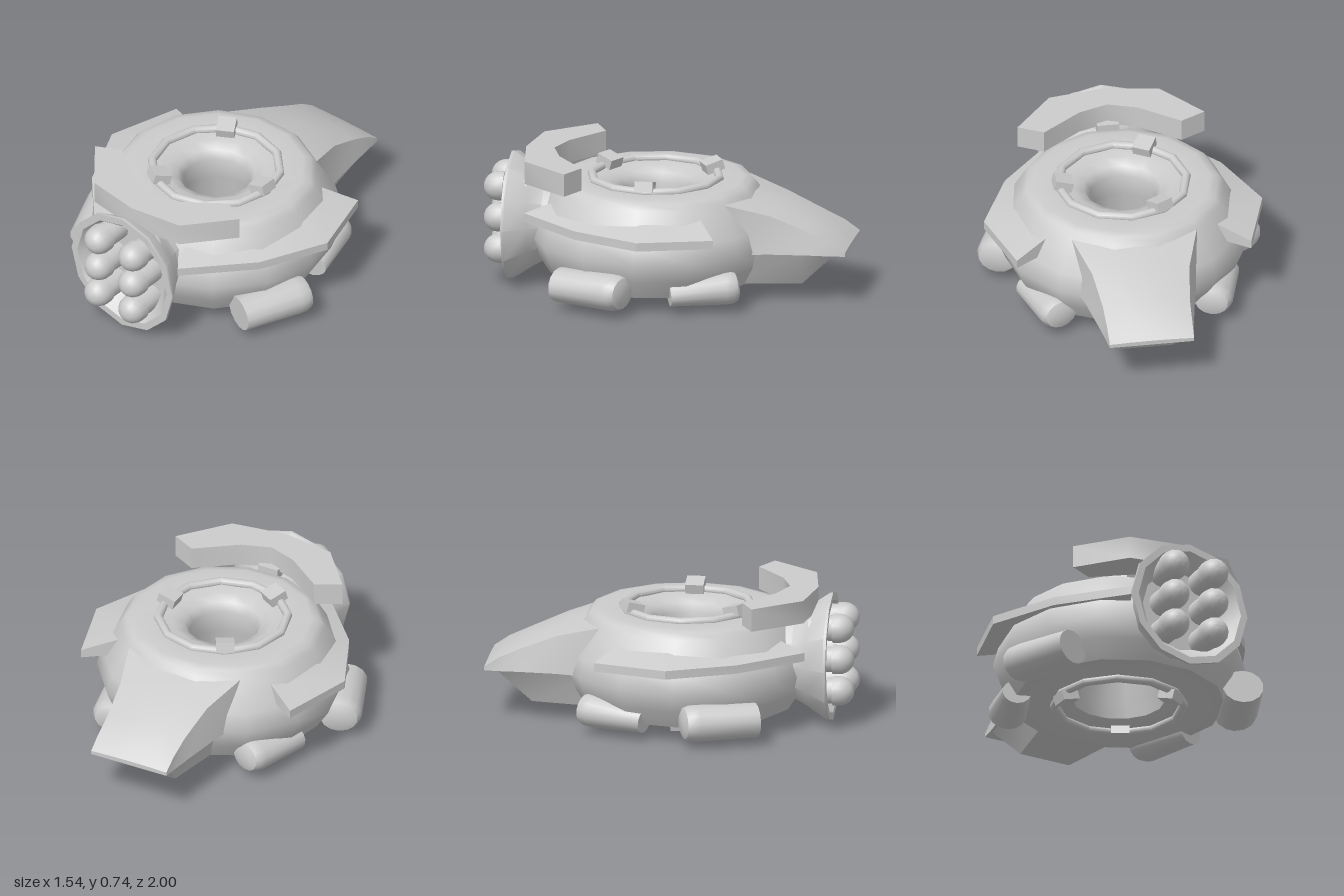
import * as THREE from 'three';
import { toCreasedNormals } from 'three/addons/utils/BufferGeometryUtils.js';

const grey = new THREE.MeshStandardMaterial({ color: 0xcccccc });
const CZ = 0.08; // z of the ring body's axis

function add(parent, name, geo, x = 0, y = 0, z = 0, crease = 0.65) {
  const mesh = new THREE.Mesh(toCreasedNormals(geo, crease), grey);
  mesh.name = name;
  mesh.position.set(x, y, z);
  parent.add(mesh);
  return mesh;
}

const lathe = (pts, n, start = 0) =>
  new THREE.LatheGeometry(pts.map(([r, y]) => new THREE.Vector2(r, y)), n, start);

// Closed solid through cross-sections that share a point count
function loft(sections) {
  const n = sections[0].length, idx = [];
  for (let s = 0; s < sections.length - 1; s++) {
    for (let i = 0; i < n; i++) {
      const a = s * n + i, b = s * n + (i + 1) % n;
      idx.push(a, b, b + n, a, b + n, a + n);
    }
  }
  const last = (sections.length - 1) * n;
  for (let i = 1; i < n - 1; i++) idx.push(0, i + 1, i, last, last + i, last + i + 1);
  // Turn the faces outward whichever way the sections run
  const p = sections.flat().map(v => new THREE.Vector3(...v));
  let volume = 0;
  for (let i = 0; i < idx.length; i += 3) {
    volume += p[idx[i]].dot(p[idx[i + 1]].clone().cross(p[idx[i + 2]]));
  }
  if (volume < 0) idx.reverse();
  const geo = new THREE.BufferGeometry().setFromPoints(p);
  geo.setIndex(idx);
  return geo;
}

// Wide blunt cylinder with a flat front end and a rounded rear end
function pod(parent, name, front, rear, rFront, r) {
  const target = new THREE.Vector3(...rear);
  const len = target.distanceTo(new THREE.Vector3(...front));
  const geo = lathe([[0, 0], [rFront, 0], [r, len * 0.8], [r * 0.97, len * 0.9],
    [r * 0.85, len * 0.97], [r * 0.55, len], [0, len * 1.01]], 14);
  const mesh = add(parent, name, geo.rotateX(Math.PI / 2).scale(1.2, 1, 1), ...front);
  mesh.lookAt(target);
}

export function createModel() {
  const model = new THREE.Group();
  model.name = 'hoverCraft';

  // Ring-shaped hull with an opening that widens downward
  add(model, 'hull', lathe([
    [0.3, 0.09], [0.575, 0.09], [0.64, 0.19], [0.683, 0.3], [0.655, 0.4], [0.595, 0.5], [0.555, 0.57], [0.525, 0.605],
    [0.48, 0.615], [0.34, 0.612], [0.27, 0.6], [0.21, 0.575], [0.182, 0.53],
    [0.2, 0.4], [0.235, 0.2], [0.25, 0.115], [0.3, 0.09],
  ], 14, Math.PI / 2), 0, 0, CZ, 0.85);

  // Hoop rails with three clamps each, above and below
  for (const side of [1, -1]) {
    const rail = add(model, side > 0 ? 'topRail' : 'bottomRail',
      new THREE.TorusGeometry(0.35, 0.024, 12, 12), 0, side > 0 ? 0.618 : 0.08, CZ);
    rail.rotation.x = Math.PI / 2;
    for (let i = 0; i < 3; i++) {
      const pivot = new THREE.Group();
      pivot.name = 'railClamp';
      pivot.position.set(0, side > 0 ? 0.645 : 0.053, CZ);
      pivot.rotation.y = i * Math.PI * 2 / 3 + (side > 0 ? 0 : Math.PI);
      add(pivot, 'clampBlock', new THREE.BoxGeometry(0.1, 0.055, 0.1), 0.325, 0, 0).rotation.z = side * 0.28;
      model.add(pivot);
    }
  }

  // Sloping side armour and pods, mirrored
  const rim = [[0.29, 0.75, 0.2, 0.55], [0.59, 0.42, 0.42, 0.33], [0.76, 0.05, 0.54, 0.05], [0.64, -0.35, 0.45, -0.24]];
  for (const s of [1, -1]) {
    const tag = s > 0 ? 'left' : 'right';
    add(model, tag + 'SideArmour', loft(rim.map(([ox, oz, ix, iz]) => [
      [s * ox, 0.405, oz], [s * ox, 0.452, oz], [s * ix, 0.52, iz], [s * ix, 0.42, iz],
    ])));
    pod(model, tag + 'FrontPod', [s * 0.525, 0.133, 0.515], [s * 0.68, 0.14, 0.13], 0.093, 0.1);
    pod(model, tag + 'RearPod', [s * 0.535, 0.11, -0.09], [s * 0.405, 0.136, -0.445], 0.066, 0.09);
  }

  // Arched tail plate: z, half width and y of the edge, y of the crest, half width and y of the base
  add(model, 'tailPlate', loft([
    [-0.345, 0.345, 0.57, 0.59, 0.35, 0.29],
    [-0.6, 0.265, 0.495, 0.525, 0.295, 0.29],
    [-0.8, 0.237, 0.41, 0.435, 0.26, 0.285],
    [-0.92, 0.232, 0.355, 0.37, 0.24, 0.28],
    [-1, 0.23, 0.3, 0.305, 0.23, 0.28],
  ].map(([z, w, y, crest, bw, by]) => {
    const mid = y + (crest - y) * 0.75;
    return [[-bw, by, z], [bw, by, z], [w, y, z], [w / 2, mid, z], [0, crest, z], [-w / 2, mid, z], [-w, y, z]];
  })));

  // Tail underside: z, half width and y at top, half width and y at bottom
  add(model, 'tailKeel', loft([
    [-0.38, 0.31, 0.3, 0.22, 0.095],
    [-0.75, 0.25, 0.29, 0.15, 0.095],
    [-0.92, 0.23, 0.285, 0.21, 0.265],
  ].map(([z, tw, ty, bw, by]) => [[-bw, by, z], [bw, by, z], [tw, ty, z], [-tw, ty, z]])));

  // Angular visor above the gun, with its mount
  const half = [[0, 0.79], [0.3, 0.745], [0.51, 0.49], [0.375, 0.42], [0.16, 0.58], [0, 0.635]];
  const outline = [...half, ...half.slice(1, -1).reverse().map(([x, z]) => [-x, z])];
  const visor = new THREE.ExtrudeGeometry(
    new THREE.Shape(outline.map(([x, z]) => new THREE.Vector2(x, -z))), { depth: 0.125, bevelEnabled: false });
  add(model, 'visor', visor.rotateX(-Math.PI / 2), 0, 0.62, 0, 0.8);
  add(model, 'visorMount', new THREE.BoxGeometry(0.12, 0.14, 0.16), 0, 0.57, 0.67);

  // Flared gun shroud, open to the front with a recessed floor
  const shroud = lathe([
    [0, 0.5], [0.23, 0.5], [0.24, 0.67], [0.28, 0.745], [0.355, 0.855],
    [0.355, 0.87], [0.315, 0.87], [0.25, 0.79], [0.23, 0.76], [0, 0.76],
  ], 12);
  add(model, 'gunShroud', shroud.rotateX(Math.PI / 2), 0, 0.36, 0);

  // Six round-nosed barrels
  for (const x of [-0.12, 0.12]) {
    for (const y of [0.2, 0.375, 0.55]) {
      const barrel = lathe([[0.07, 0.755], [0.07, 0.885], [0.08, 0.885], [0.08, 0.92],
        ...[1, 2, 3, 4, 5, 6].map(i => [0.08 * Math.cos(i * Math.PI / 12), 0.92 + 0.08 * Math.sin(i * Math.PI / 12)]),
      ], 16);
      add(model, 'barrel', barrel.rotateX(Math.PI / 2), x, y, 0);
    }
  }
  return model;
}
